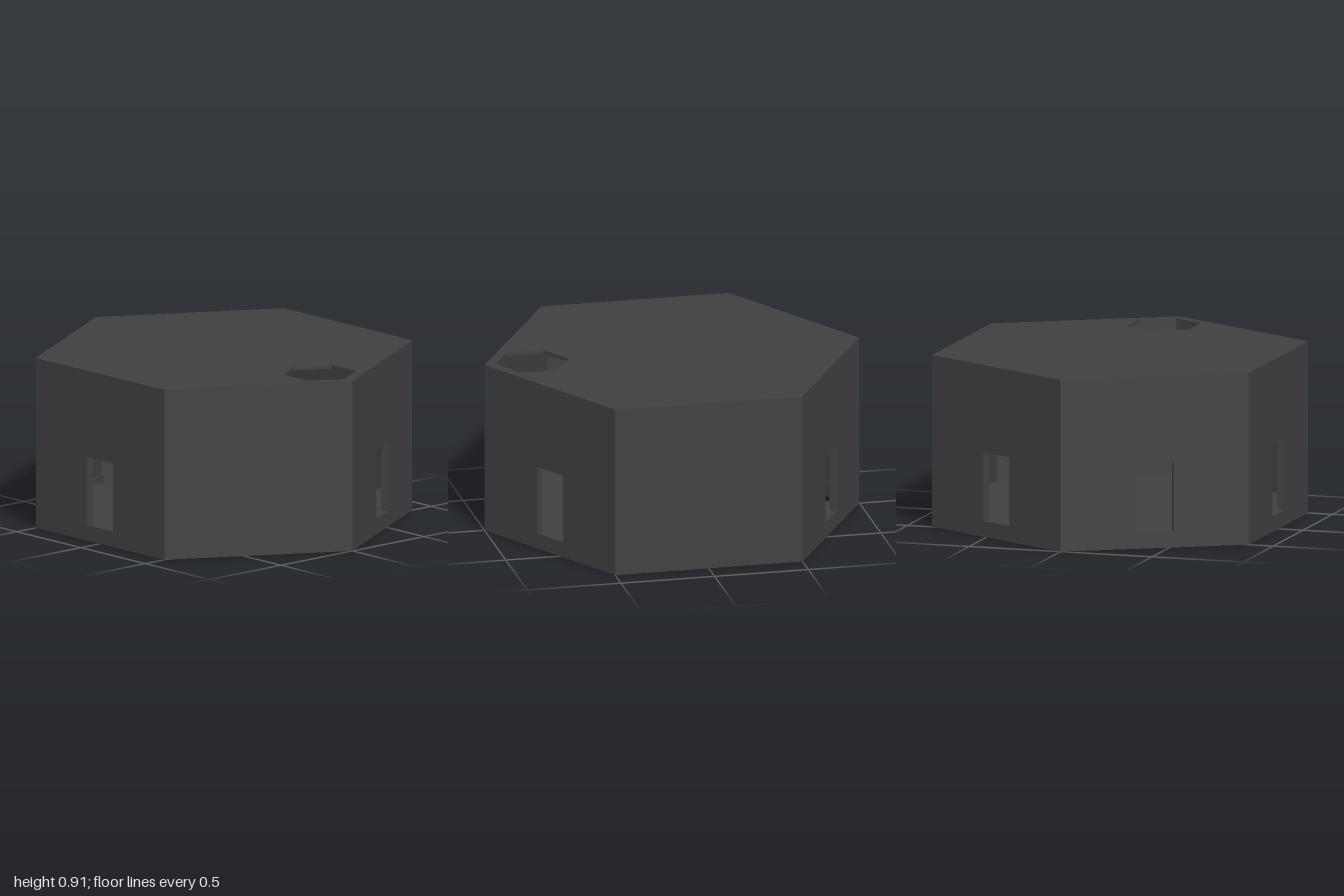
import * as THREE from 'three';

const HEIGHT = 0.907;
const FLOOR = 0.083;      // floor thickness, also the door sill height
const ROOF = 0.02;        // roof thickness
const WALL = 0.04;        // wall thickness
const APOTHEM = Math.sqrt(3) / 2;
const DOOR_TOP = 0.447;
const DOOR_HALF = 0.1;
const HATCH_X = 0.745;
const HATCH_R = 0.195;

const material = new THREE.MeshStandardMaterial({ color: 0x404040 });

function hexagon(radius, cx, Type) {
  const points = [];
  for (let i = 0; i < 6; i++) {
    const a = (i * Math.PI) / 3;
    points.push(new THREE.Vector2(cx + radius * Math.cos(a), radius * Math.sin(a)));
  }
  return new Type(points);
}

// Horizontal hexagonal slab with a hexagonal hatch cut through it
function slab(name, y, thickness, hatchX) {
  const shape = hexagon(1, 0, THREE.Shape);
  shape.holes.push(hexagon(HATCH_R, hatchX, THREE.Path));
  const geometry = new THREE.ExtrudeGeometry(shape, { depth: thickness, bevelEnabled: false });
  geometry.rotateX(-Math.PI / 2);
  const mesh = new THREE.Mesh(geometry, material);
  mesh.name = name;
  mesh.position.y = y;
  return mesh;
}

// Wall panel, mitred at both ends, with an optional doorway notch down to the floor
function wallPanel(hasDoor) {
  const bottom = FLOOR, top = HEIGHT - ROOF;
  const outline = [[-0.5, bottom]];
  if (hasDoor) {
    outline.push([-DOOR_HALF, bottom], [-DOOR_HALF, DOOR_TOP], [DOOR_HALF, DOOR_TOP], [DOOR_HALF, bottom]);
  }
  outline.push([0.5, bottom], [0.5, top], [-0.5, top]);
  const shape = new THREE.Shape(outline.map(([x, y]) => new THREE.Vector2(x, y)));
  const geometry = new THREE.ExtrudeGeometry(shape, { depth: WALL, bevelEnabled: false });
  const position = geometry.attributes.position;
  for (let i = 0; i < position.count; i++) {
    const x = position.getX(i);
    if (Math.abs(x) > 0.4 && position.getZ(i) < WALL / 2) {
      position.setX(i, Math.sign(x) * (0.5 - WALL * Math.tan(Math.PI / 6)));
    }
  }
  geometry.translate(0, 0, APOTHEM - WALL);
  geometry.computeVertexNormals();
  return geometry;
}

export function createModel() {
  const room = new THREE.Group();
  room.name = 'hexagonalRoom';

  // Floor and roof, with hatches at opposite corners
  room.add(slab('floor', 0, FLOOR, -HATCH_X));
  room.add(slab('roof', HEIGHT - ROOF, ROOF, HATCH_X));

  // Six walls starting at the front; four have doorways
  const plain = wallPanel(false);
  const withDoor = wallPanel(true);
  [true, false, true, false, true, true].forEach((hasDoor, i) => {
    const wall = new THREE.Mesh(hasDoor ? withDoor : plain, material);
    wall.name = hasDoor ? 'doorwayWall' : 'plainWall';
    wall.rotation.y = (i * Math.PI) / 3;
    room.add(wall);
  });

  return room;
}
